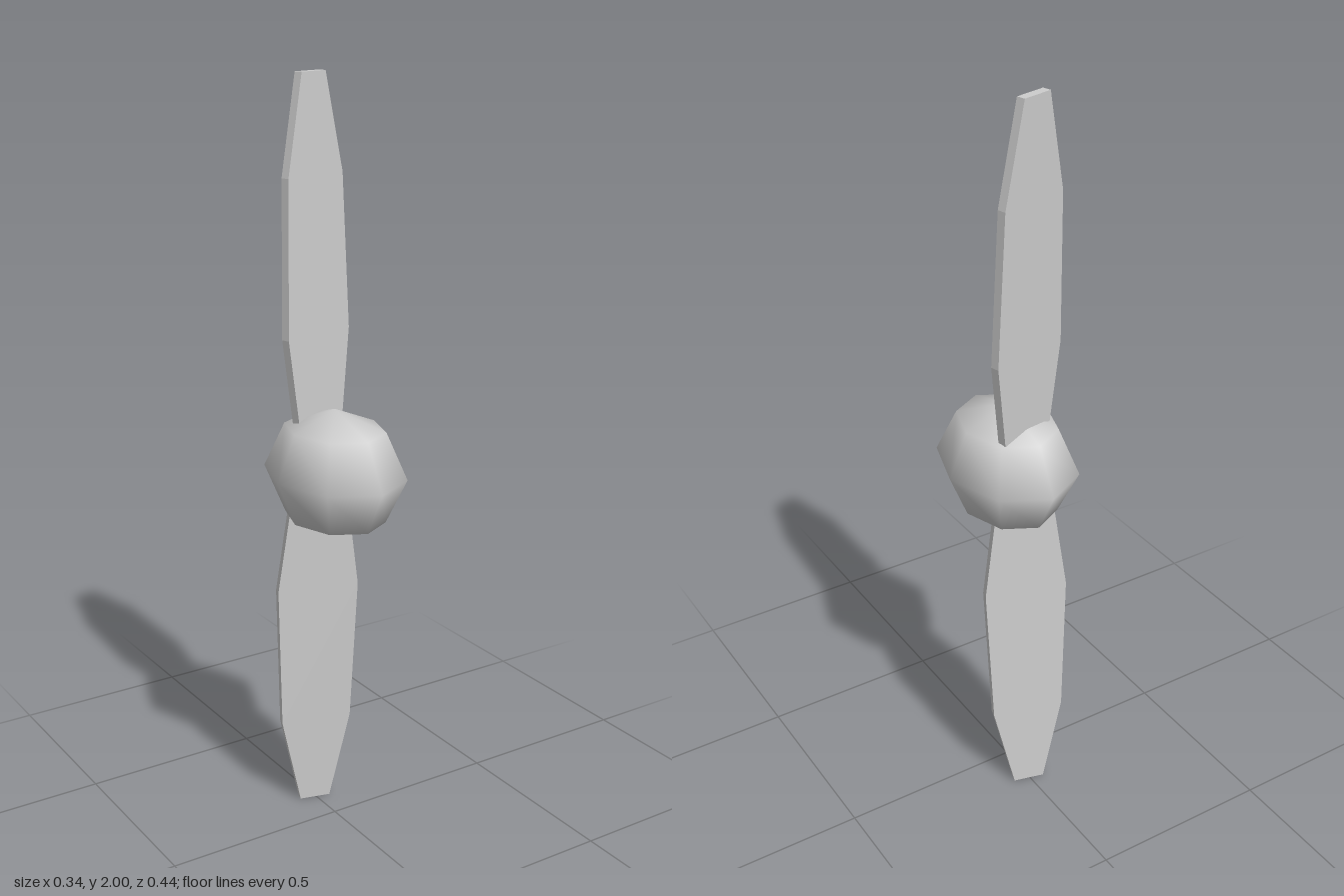
import * as THREE from 'three';

const HUB_Y = 1;
const THICKNESS = 0.0235;
const PITCH = THREE.MathUtils.degToRad(14.8);

// Half widths of the blade at distances from the hub centre, root to tip
const PROFILE = [[0.12, 0.081], [0.35, 0.112], [0.75, 0.098], [1, 0.0425]];

function bladeGeometry() {
  const right = PROFILE.map(([y, w]) => new THREE.Vector2(w, y));
  const left = PROFILE.map(([y, w]) => new THREE.Vector2(-w, y)).reverse();
  const geometry = new THREE.ExtrudeGeometry(new THREE.Shape([...right, ...left]), {
    depth: THICKNESS, bevelEnabled: false,
  });
  geometry.translate(0, 0, -THICKNESS / 2);
  geometry.rotateY(PITCH);

  // Lean the blade back towards its tip
  const p = geometry.attributes.position;
  for (let i = 0; i < p.count; i++) {
    p.setZ(i, p.getZ(i) - 0.081 - 0.034 * (p.getY(i) - 0.12));
  }
  geometry.computeVertexNormals();
  return geometry;
}

export function createModel() {
  const model = new THREE.Group();
  model.name = 'propeller';
  const metal = new THREE.MeshStandardMaterial({ color: 0xcccccc });
  metal.name = 'light grey metal';

  // Faceted, smoothly shaded hub, longer along the shaft
  const hubGeometry = new THREE.SphereGeometry(0.171, 8, 4);
  hubGeometry.scale(1, 1, 0.218 / 0.171);
  const hub = new THREE.Mesh(hubGeometry, metal);
  hub.name = 'hub';
  hub.position.y = HUB_Y;
  model.add(hub);

  // Two pitched blades, half a turn apart about the shaft
  const geometry = bladeGeometry();
  ['upperBlade', 'lowerBlade'].forEach((name, i) => {
    const blade = new THREE.Mesh(geometry, metal);
    blade.name = name;
    blade.position.y = HUB_Y;
    blade.rotation.z = i * Math.PI;
    model.add(blade);
  });
  return model;
}
